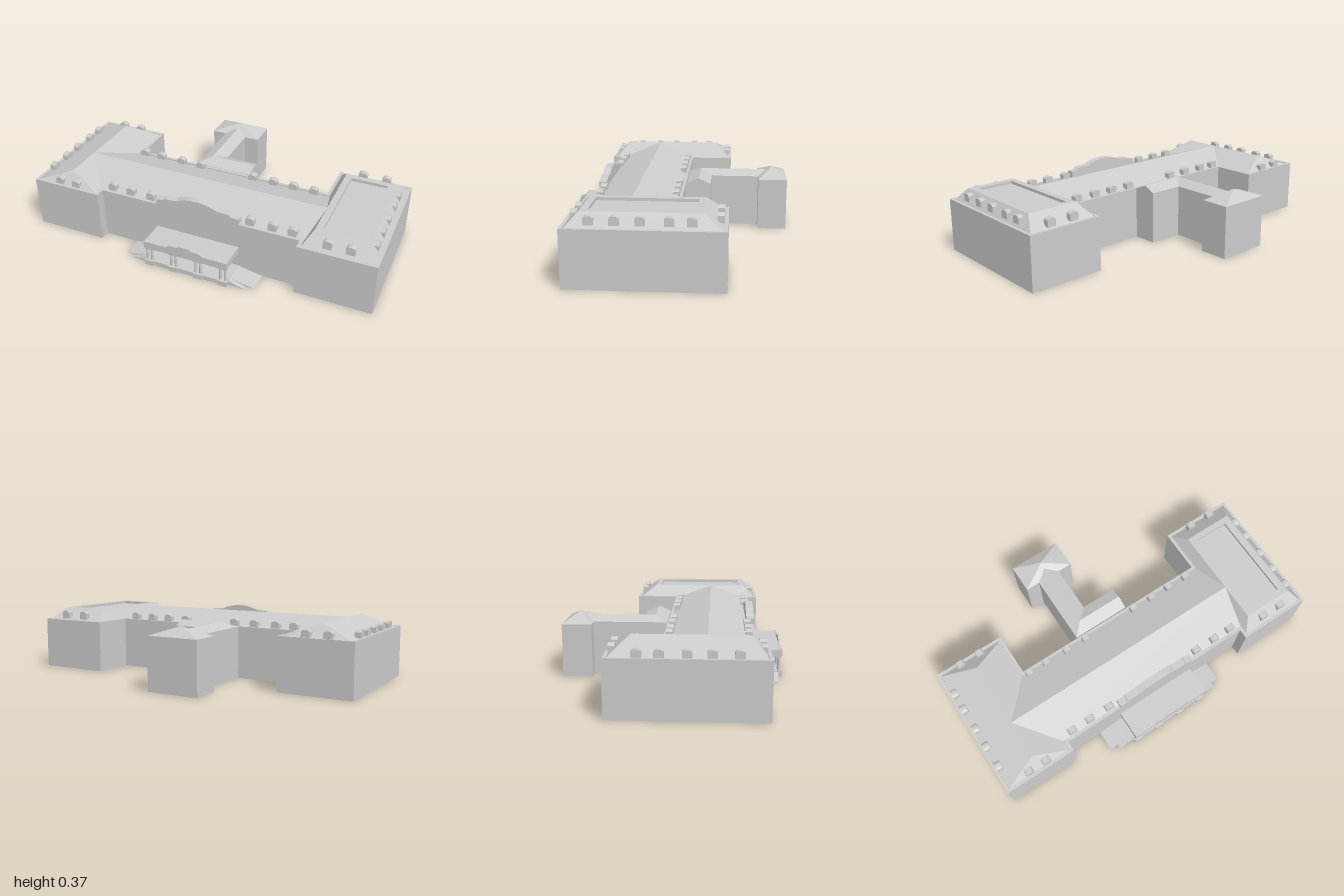
import * as THREE from 'three';

const mat = new THREE.MeshStandardMaterial({ color: 0xcccccc, flatShading: true, side: THREE.DoubleSide });
const EAVE = 0.295, RIDGE = 0.362;

function add(parent, name, geo, x = 0, y = 0, z = 0) {
  const m = new THREE.Mesh(geo, mat);
  m.name = name;
  m.position.set(x, y, z);
  parent.add(m);
  return m;
}

function box(parent, name, x0, x1, y0, y1, z0, z1) {
  return add(parent, name, new THREE.BoxGeometry(x1 - x0, y1 - y0, z1 - z0),
    (x0 + x1) / 2, (y0 + y1) / 2, (z0 + z1) / 2);
}

const shapeOf = (pts) => new THREE.Shape(pts.map(([x, y]) => new THREE.Vector2(x, y)));
const rect = (x0, x1, z0, z1) => [[x0, z0], [x1, z0], [x1, z1], [x0, z1]];
const extrude = (shape, depth) => new THREE.ExtrudeGeometry(shape, { depth, bevelEnabled: false, curveSegments: 8 });

// Faces given as corner loops, triangulated as fans
function facesGeometry(faces) {
  const pos = [];
  for (const f of faces)
    for (let i = 1; i < f.length - 1; i++) pos.push(...f[0], ...f[i], ...f[i + 1]);
  const g = new THREE.BufferGeometry();
  g.setAttribute('position', new THREE.Float32BufferAttribute(pos, 3));
  g.computeVertexNormals();
  return g;
}

// Open shell of vertical walls along a footprint of [x, z] corners
function walls(parent, name, pts, top) {
  add(parent, name, facesGeometry(pts.map(([x, z], i) => {
    const [u, w] = pts[(i + 1) % pts.length];
    return [[x, 0, z], [x, top, z], [u, top, w], [u, 0, w]];
  })));
}

// Sloped roof from a base rectangle to a top rectangle, ridge or point
function roof(parent, name, b, yb, t, yt) {
  const lo = rect(...b).map(([x, z]) => [x, yb, z]);
  const hi = rect(...t).map(([x, z]) => [x, yt, z]);
  add(parent, name, facesGeometry(lo.map((p, i) => {
    const j = (i + 1) % 4;
    return [p, hi[i], hi[j], lo[j]];
  })));
}

// Move the corners of a right-angled loop inwards
function inset(pts, d) {
  const n = pts.length;
  return pts.map(([x, z], i) => {
    const p = pts[(i + n - 1) % n], q = pts[(i + 1) % n];
    const ax = Math.sign(x - p[0]), az = Math.sign(z - p[1]);
    const bx = Math.sign(q[0] - x), bz = Math.sign(q[1] - z);
    return [x - d * (az + bz), z + d * (ax + bx)];
  });
}

// Round-topped dormer window, front facing the given angle
function dormer(parent, x, z, angle, y = 0.29, h = 0.045) {
  const w = 0.024, s = new THREE.Shape();
  s.moveTo(-w, 0);
  s.lineTo(w, 0);
  s.lineTo(w, h - 0.012);
  s.quadraticCurveTo(w * 0.8, h, 0, h);
  s.quadraticCurveTo(-w * 0.8, h, -w, h - 0.012);
  const g = extrude(s, 0.034);
  g.translate(0, 0, -0.017);
  add(parent, 'dormer', g, x, y, z).rotation.y = angle;
}

export function createModel() {
  const model = new THREE.Group();
  model.name = 'building';

  // Main block: two wings joined by a long centre
  const plan = [[-1, -0.28], [-0.585, -0.28], [-0.585, -0.03], [0.58, -0.03], [0.58, -0.28], [1, -0.28],
    [1, 0.5], [0.58, 0.5], [0.58, 0.445], [-0.585, 0.445], [-0.585, 0.5], [-1, 0.5]];
  walls(model, 'mainWalls', plan, EAVE);
  const rim = shapeOf(plan);
  rim.holes.push(shapeOf(inset(plan, 0.018)));
  const rimGeo = extrude(rim, 0.008);
  rimGeo.rotateX(Math.PI / 2);
  add(model, 'eavesRim', rimGeo, 0, EAVE + 0.001, 0);

  // Main roofs
  const base = EAVE - 0.005;
  roof(model, 'leftWingRoof', [-0.982, -0.603, -0.262, 0.482], base, [-0.79, -0.79, -0.17, 0.415], RIDGE);
  roof(model, 'rightWingRoof', [0.598, 0.982, -0.262, 0.482], base, [0.645, 0.93, -0.168, 0.415], RIDGE);
  add(model, 'centreRoof', facesGeometry([
    [[-0.79, base, 0.427], [0.645, base, 0.427], [0.645, RIDGE, 0.2], [-0.79, RIDGE, 0.2]],
    [[0.645, base, -0.012], [-0.79, base, -0.012], [-0.79, RIDGE, 0.2], [0.645, RIDGE, 0.2]],
  ]));

  // Sunken flat deck on the right wing
  const deck = shapeOf(rect(0.645, 0.93, -0.168, 0.415));
  deck.holes.push(shapeOf(rect(0.682, 0.888, -0.135, 0.378)));
  const deckGeo = extrude(deck, 0.018);
  deckGeo.rotateX(Math.PI / 2);
  add(model, 'roofDeckEdge', deckGeo, 0, RIDGE, 0);
  box(model, 'roofDeckFloor', 0.68, 0.89, RIDGE - 0.02, RIDGE - 0.016, -0.137, 0.38);

  // Dormers
  const dormers = new THREE.Group();
  dormers.name = 'dormers';
  model.add(dormers);
  for (const x of [-0.535, -0.42, -0.295, 0.295, 0.42, 0.53]) dormer(dormers, x, 0.405, 0);
  for (const x of [-0.555, -0.445, -0.31, -0.185, 0.145, 0.27, 0.39, 0.51]) dormer(dormers, x, 0.002, Math.PI);
  for (const z of [-0.125, -0.02, 0.11, 0.225, 0.35]) dormer(dormers, -0.968, z, -Math.PI / 2);
  for (const z of [-0.115, -0.01, 0.125, 0.245, 0.365]) dormer(dormers, 0.953, z, Math.PI / 2, 0.302, 0.048);
  for (const x of [-0.845, -0.74]) dormer(dormers, x, 0.466, 0);
  for (const x of [0.73, 0.85]) dormer(dormers, x, 0.452, 0, 0.302, 0.048);
  for (const x of [-0.855, -0.735]) dormer(dormers, x, -0.252, Math.PI);
  for (const x of [0.725, 0.86]) dormer(dormers, x, -0.245, Math.PI, 0.302, 0.048);

  // Curved pediment over the middle of the front
  const ped = shapeOf([[-0.243, 0.285], [0.243, 0.285], [0.243, 0.328], [0.2, 0.333], [0.19, 0.343], [0.12, 0.347]]);
  ped.quadraticCurveTo(0.07, 0.372, 0, 0.373);
  ped.quadraticCurveTo(-0.07, 0.372, -0.12, 0.347);
  for (const [x, y] of [[-0.19, 0.343], [-0.2, 0.333], [-0.243, 0.328]]) ped.lineTo(x, y);
  add(model, 'pediment', extrude(ped, 0.042), 0, 0, 0.404);

  // Rear corridor and pavilion
  walls(model, 'corridorWalls', [[-0.225, -0.45], [-0.09, -0.45], [-0.09, -0.17], [0.11, -0.17],
    [0.11, -0.03], [-0.225, -0.03]], EAVE);
  roof(model, 'corridorRoof', [-0.225, -0.09, -0.5, -0.035], EAVE, [-0.157, -0.157, -0.5, -0.103], 0.325);
  roof(model, 'corridorSideRoof', [-0.225, 0.11, -0.17, -0.035], EAVE, [-0.157, 0.11, -0.103, -0.103], 0.325);
  const pav = [-0.307, -0.005, -0.61, -0.445];
  walls(model, 'pavilionWalls', rect(...pav), EAVE);
  roof(model, 'pavilionRoof', pav, EAVE, [-0.157, -0.157, -0.527, -0.527], 0.346);

  // Portico: platform with side ramps, column pairs, canopy
  const portico = new THREE.Group();
  portico.name = 'portico';
  model.add(portico);
  for (const [w, z] of [[0.385, 0.56], [0.335, 0.585]])
    add(portico, 'ramp', extrude(shapeOf([[-w, 0], [w, 0], [0.245, 0.025], [-0.245, 0.025]]), z - 0.445), 0, 0, 0.445);
  box(portico, 'platform', -0.245, 0.245, 0, 0.027, 0.445, 0.6);
  for (const x of [-0.218, -0.073, 0.073, 0.218]) {
    box(portico, 'columnBase', x - 0.026, x + 0.026, 0, 0.03, 0.57, 0.608);
    for (const s of [-0.014, 0.014]) {
      add(portico, 'column', new THREE.CylinderGeometry(0.007, 0.008, 0.085, 8), x + s, 0.07, 0.589);
      box(portico, 'capital', x + s - 0.011, x + s + 0.011, 0.102, 0.112, 0.578, 0.6);
    }
  }
  box(portico, 'canopy', -0.243, 0.243, 0.11, 0.15, 0.445, 0.604);
  add(portico, 'canopyCrest', extrude(shapeOf([[-0.243, 0.115], [0.243, 0.115], [0.243, 0.153], [0.11, 0.153],
    [0.085, 0.168], [0.04, 0.17], [0.03, 0.179], [-0.03, 0.179], [-0.04, 0.17], [-0.085, 0.168],
    [-0.11, 0.153], [-0.243, 0.153]]), 0.009), 0, 0, 0.597);

  return model;
}
